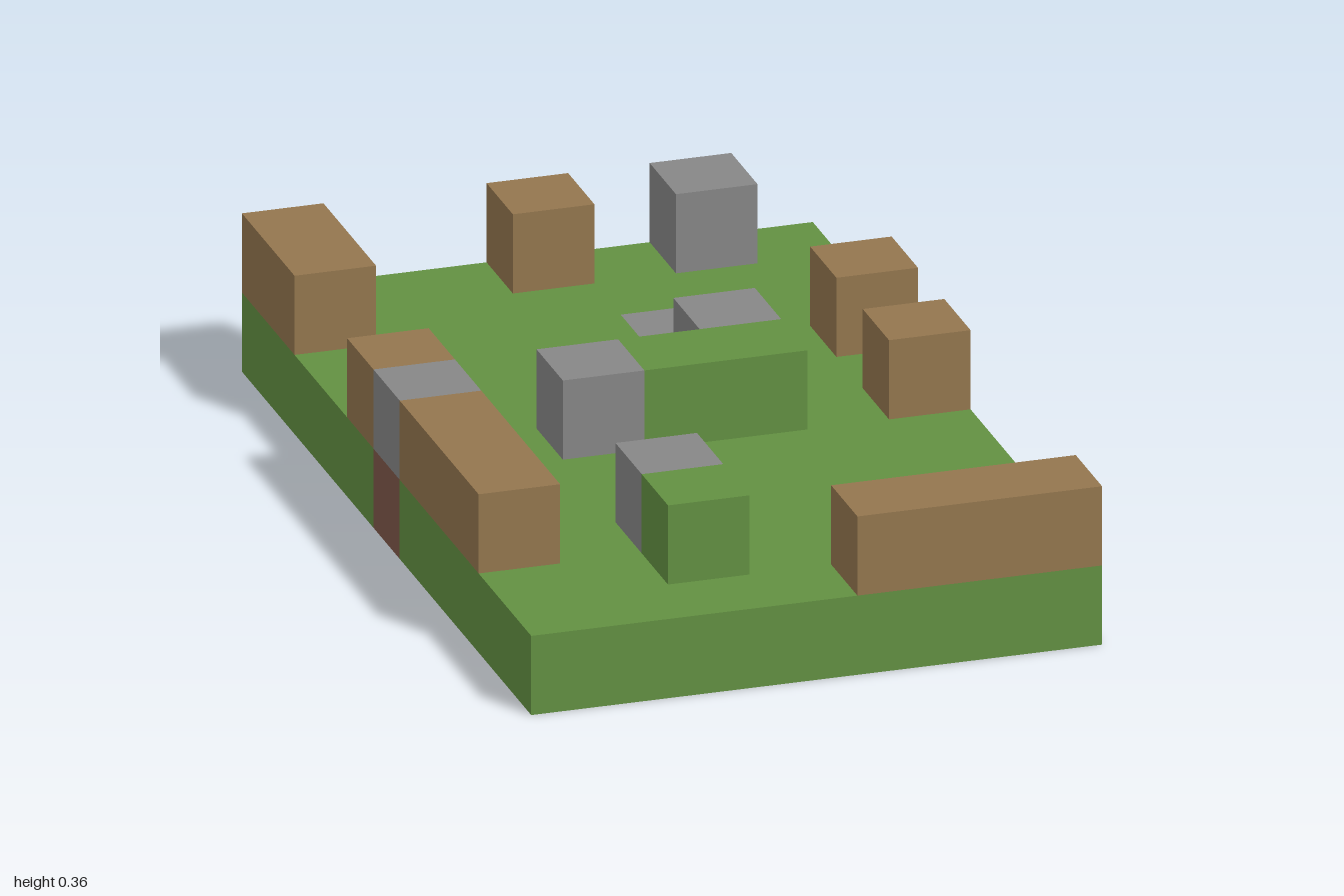
import * as THREE from 'three';

const CELL = 2 / 11; // the model is a 7 x 11 grid of cubes, two layers high
const COLS = 7, ROWS = 11;
const edgeX = (col) => (col - COLS / 2) * CELL;
const edgeZ = (row) => (row - ROWS / 2) * CELL;

function material(name, color) {
  const m = new THREE.MeshStandardMaterial({ color });
  m.name = name;
  return m;
}

export function createModel() {
  const grass = material('grass green', 0x629041);
  const wood = material('wood brown', 0x93764e);
  const stone = material('stone grey', 0x868686);
  const clay = material('reddish clay', 0x7f5849);

  const group = new THREE.Group();
  group.name = 'blockTerrain';

  // A run of cubes starting at a grid cell, on layer 0 (ground) or 1 (raised)
  function block(name, mat, col, row, cols = 1, rows = 1, layer = 1) {
    const mesh = new THREE.Mesh(new THREE.BoxGeometry(cols * CELL, CELL, rows * CELL), mat);
    mesh.position.set(edgeX(col + cols / 2), (layer + 0.5) * CELL, edgeZ(row + rows / 2));
    mesh.name = name;
    group.add(mesh);
  }

  // Ground slab with a notch for the clay cube and a hole for the stone cube
  const point = ([c, r]) => new THREE.Vector2(edgeX(c), edgeZ(r));
  const slab = new THREE.Shape(
    [[0, 0], [7, 0], [7, 11], [0, 11], [0, 6], [1, 6], [1, 5], [0, 5]].map(point));
  slab.holes.push(new THREE.Path([[4, 2], [4, 3], [5, 3], [5, 2]].map(point)));
  const slabGeometry = new THREE.ExtrudeGeometry(slab, { depth: CELL, bevelEnabled: false });
  slabGeometry.rotateX(Math.PI / 2).translate(0, CELL, 0);
  const ground = new THREE.Mesh(slabGeometry, grass);
  ground.name = 'ground';
  group.add(ground);

  // Cubes set into the ground
  block('groundStone', stone, 4, 2, 1, 1, 0);
  block('groundClay', clay, 0, 5, 1, 1, 0);

  // Raised wooden walls: column, row, columns wide, rows long
  for (const run of [[0, 0, 1, 2], [0, 4, 1, 1], [0, 6, 1, 3], [3, 0, 1, 1],
    [6, 3, 1, 1], [6, 5, 1, 1], [4, 10, 3, 1]]) block('woodWall', wood, ...run);

  // Raised stones
  for (const cell of [[5, 0], [4, 4], [0, 5], [2, 5], [2, 8]]) block('stoneBlock', stone, ...cell);

  // Raised grass
  block('grassWall', grass, 3, 5, 2, 1);
  block('grassBlock', grass, 2, 9);

  return group;
}
